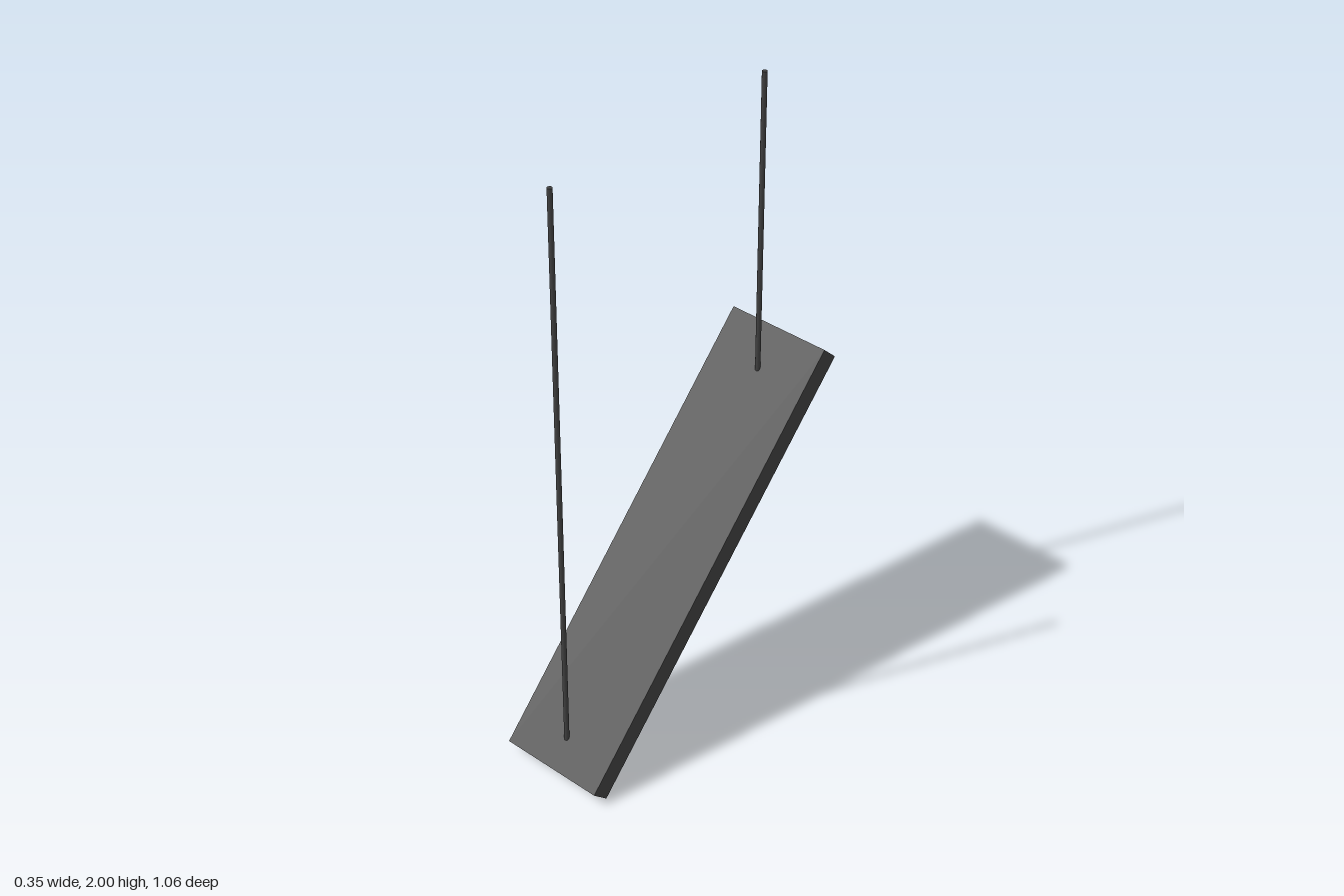
import * as THREE from 'three';

export function createModel() {
  const model = new THREE.Group();
  model.name = 'hangingTubeLamp';
  const material = new THREE.MeshStandardMaterial({ color: 0x404040 });

  const add = (parent, name, geometry, x, y, z) => {
    const mesh = new THREE.Mesh(geometry, material);
    mesh.name = name;
    mesh.position.set(x, y, z);
    parent.add(mesh);
    return mesh;
  };

  const width = 0.35, depth = 0.07, length = 1.464, wall = 0.008;
  const tilt = Math.atan2(1.065, 1.005);
  const centreY = 0.5575;

  // Tilted fixture, laid out flat with its length along z
  const fixture = new THREE.Group();
  fixture.name = 'fixture';
  fixture.position.y = centreY;
  fixture.rotation.x = tilt;
  model.add(fixture);

  // Shallow housing, open underneath
  add(fixture, 'housingTop', new THREE.BoxGeometry(width, wall, length), 0, (depth - wall) / 2, 0);
  for (const s of [-1, 1]) {
    add(fixture, 'housingSide', new THREE.BoxGeometry(wall, depth - wall, length),
      s * (width - wall) / 2, -wall / 2, 0);
    add(fixture, 'housingEnd', new THREE.BoxGeometry(width - 2 * wall, depth - wall, wall),
      0, -wall / 2, s * (length - wall) / 2);
  }

  // Row of light tubes with narrower end pins
  const tubeLength = length - 0.06;
  for (let i = 0; i < 4; i++) {
    const x = (i - 1.5) * 0.08;
    add(fixture, 'lightTube', new THREE.CylinderGeometry(0.027, 0.027, tubeLength, 20), x, -0.004, 0)
      .rotation.x = Math.PI / 2;
    add(fixture, 'tubePins', new THREE.CylinderGeometry(0.012, 0.012, length - 2 * wall, 10), x, -0.004, 0)
      .rotation.x = Math.PI / 2;
  }

  // Vertical suspension cords meeting the sloping top
  for (const z of [0.458, -0.385]) {
    const bottom = centreY + depth / 2 / Math.cos(tilt) - z * Math.tan(tilt) - 0.005;
    add(model, 'cord', new THREE.CylinderGeometry(0.008, 0.008, 2 - bottom, 12), 0, (2 + bottom) / 2, z);
  }

  return model;
}
